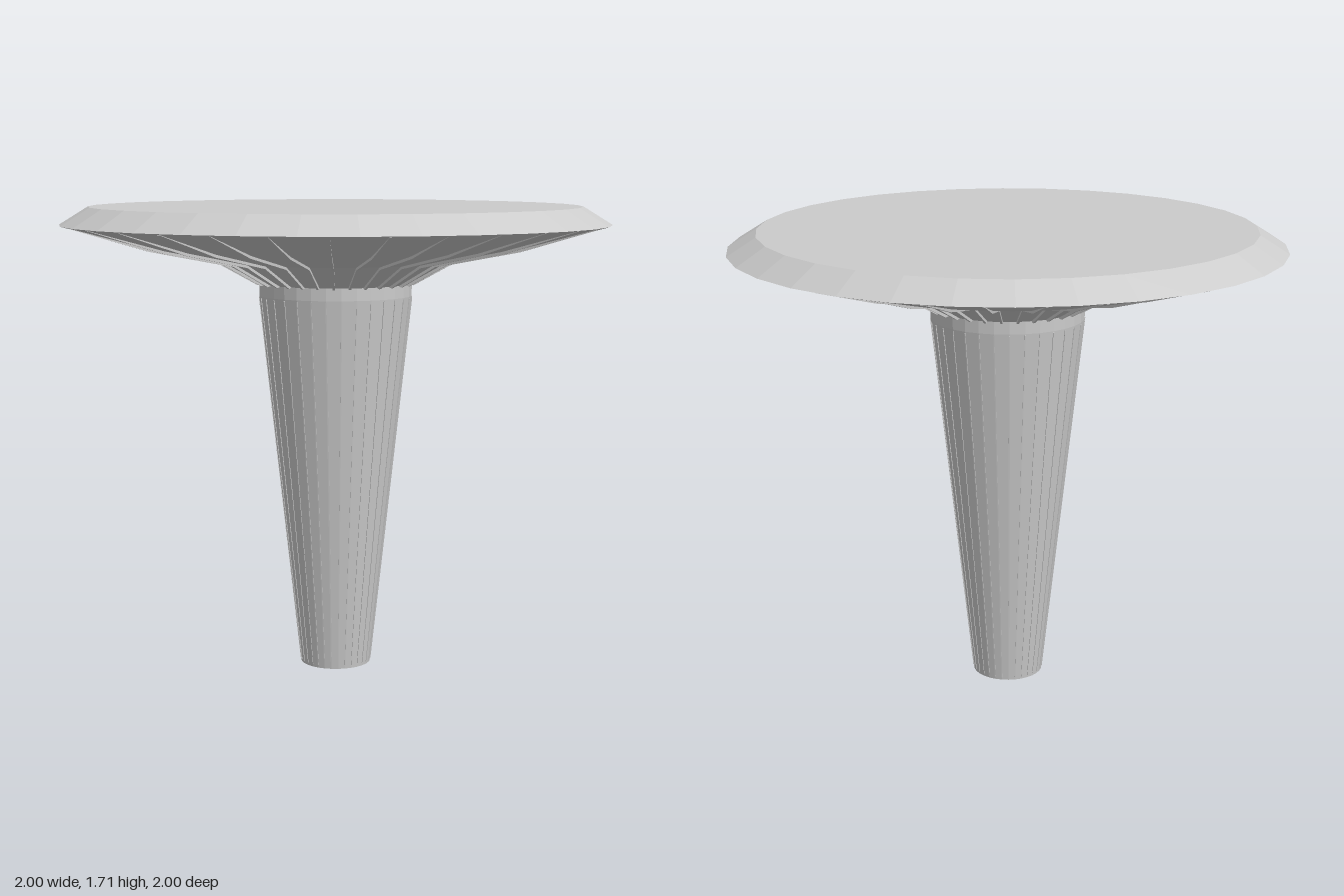
import * as THREE from 'three';
import { mergeGeometries } from 'three/addons/utils/BufferGeometryUtils.js';

const SIDES = 32;
const material = new THREE.MeshStandardMaterial({ color: 0xcccccc, flatShading: true });
const vec = (pairs) => pairs.map(([x, y]) => new THREE.Vector2(x, y));

function addMesh(group, name, geometry) {
  const mesh = new THREE.Mesh(geometry, material);
  mesh.name = name;
  group.add(mesh);
}

// Thin upright blades with a radial outline, repeated around the axis
function radialBlades(outline, thickness, offset) {
  const blades = [];
  for (let i = 0; i < SIDES; i++) {
    const blade = new THREE.ExtrudeGeometry(new THREE.Shape(vec(outline)), {
      depth: thickness, bevelEnabled: false,
    });
    blade.translate(0, 0, -thickness / 2);
    blade.rotateY(((i + offset) / SIDES) * Math.PI * 2);
    blades.push(blade);
  }
  return mergeGeometries(blades);
}

export function createModel() {
  const group = new THREE.Group();

  // Tapered stem with a flat foot
  addMesh(group, 'stem', new THREE.LatheGeometry(vec([
    [0, 0], [0.13, 0], [0.28, 1.385], [0.28, 1.43], [0, 1.43],
  ]), SIDES));

  // Fine ribs running down the stem
  addMesh(group, 'stemRibs', radialBlades([
    [0.11, 0.01], [0.133, 0.01], [0.282, 1.38], [0.25, 1.38],
  ], 0.004, 0));

  // Wide cap: flared underside, sharp rim, bevelled edge, flat top
  addMesh(group, 'cap', new THREE.LatheGeometry(vec([
    [0, 1.43], [0.28, 1.43], [0.43, 1.512], [0.7, 1.565],
    [1, 1.645], [0.895, 1.71], [0, 1.71],
  ]), SIDES));

  // Gills radiating under the cap, one in the middle of each facet
  addMesh(group, 'gills', radialBlades([
    [0.27, 1.432], [0.29, 1.425], [0.43, 1.503], [0.7, 1.556],
    [0.985, 1.641], [0.9, 1.65], [0.4, 1.53],
  ], 0.008, 0.5));

  return group;
}
